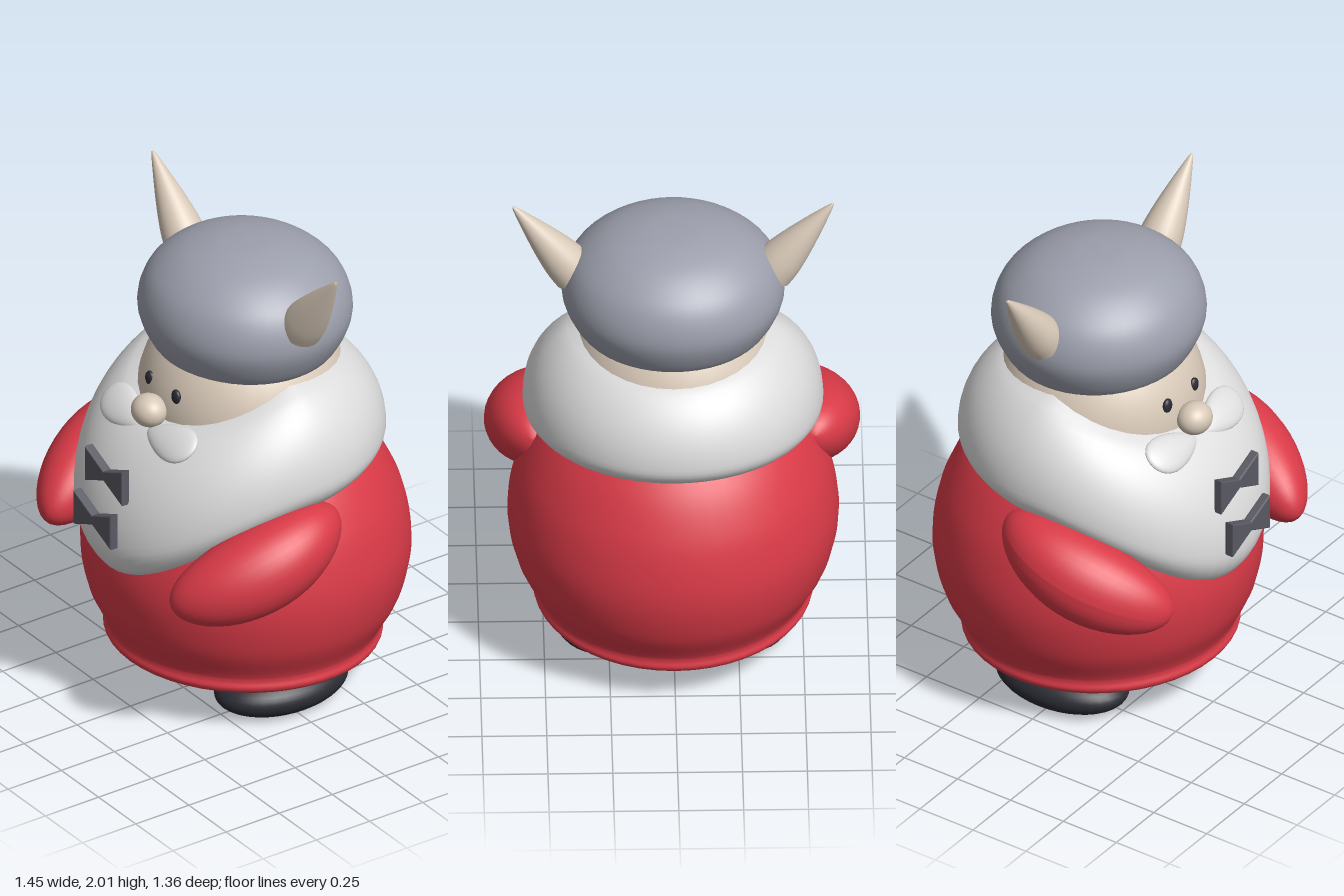
import * as THREE from 'three';

const mat = (name, color, side = THREE.FrontSide) => {
  const m = new THREE.MeshStandardMaterial({ color, side });
  m.name = name;
  return m;
};

export function createModel() {
  const red = mat('red coat', 0xd93a47);
  const white = mat('white beard', 0xdcdcdc, THREE.DoubleSide);
  const steel = mat('grey helmet', 0x9c9fac, THREE.DoubleSide);
  const skin = mat('skin and horn', 0xd8c9b8, THREE.DoubleSide);
  const dark = mat('dark shoes', 0x2b2c34);
  const bowGrey = mat('bow grey', 0x5a5a63);

  const model = new THREE.Group();
  const add = (name, geometry, material, x = 0, y = 0, z = 0) => {
    const mesh = new THREE.Mesh(geometry, material);
    mesh.name = name;
    mesh.position.set(x, y, z);
    model.add(mesh);
    return mesh;
  };
  // Smooth lathe through a few [radius, height] points, bottom to top
  const lathe = (pts, steps = 40, sides = 48) => {
    const curve = new THREE.SplineCurve(pts.map(p => new THREE.Vector2(...p)));
    const profile = curve.getPoints(steps);
    profile.forEach(p => { p.x = Math.max(p.x, 0); });
    return new THREE.LatheGeometry(profile, sides);
  };
  const ball = (rx, ry, rz) => new THREE.SphereGeometry(1, 36, 24).scale(rx, ry, rz);
  // Move every vertex by a rule
  const shape = (geometry, rule) => {
    const pos = geometry.attributes.position;
    const v = new THREE.Vector3();
    for (let i = 0; i < pos.count; i++) {
      rule(v.fromBufferAttribute(pos, i));
      pos.setXYZ(i, v.x, v.y, v.z);
    }
    geometry.computeVertexNormals();
    return geometry;
  };

  // Coat with a rolled hem, leaning slightly back (heights measured from the hem)
  const coat = lathe([
    [0, -0.035], [0.25, -0.035], [0.46, -0.033], [0.52, -0.02], [0.54, 0.005], [0.535, 0.035],
    [0.545, 0.07], [0.605, 0.19], [0.638, 0.35], [0.628, 0.5], [0.58, 0.66], [0.475, 0.83],
    [0.3, 0.97], [0, 1.03],
  ], 80);
  add('coat', coat, red, 0, 0.2, -0.03).rotation.x = -0.035;

  // Head and helmet
  add('head', ball(0.41, 0.41, 0.41), skin, 0, 1.25, -0.03);
  const helmet = lathe([
    [0.3, 1.462], [0.355, 1.46], [0.405, 1.535], [0.43, 1.62], [0.415, 1.71],
    [0.365, 1.79], [0.265, 1.862], [0.13, 1.903], [0, 1.912],
  ], 50).scale(1, 1, 0.95);
  add('helmet', helmet, steel, 0, 0, -0.04);

  // Beard: a collar all round that drops to a bib in front
  const N = 64, M = 22, positions = [], index = [];
  for (let j = 0; j <= M; j++) {
    for (let i = 0; i < N; i++) {
      const a = (i / N) * Math.PI * 2;
      const f = Math.cos(a), front = Math.max(f, 0), back = Math.max(-f, 0);
      const low = 0.99 - 0.33 * front ** 2 + 0.05 * back;
      const high = 1.44 - 0.17 * front ** 1.2 - 0.02 * back ** 2;
      const t = Math.max(0, (j - 1) / (M - 1));
      const u = (t - 0.2) / 0.8;
      const swell = u > 0 ? Math.max(0, 1 - u * u) ** 0.7 : 1;
      // first ring tucks the lower edge under
      const tuck = j === 0 ? 0.75 : u < 0 ? 1 - 0.08 * (u / 0.25) ** 2 : 1;
      const rx = (0.36 + 0.22 * swell) * tuck;
      const rz = (0.365 + (f > 0 ? 0.285 : 0.21) * swell) * tuck;
      positions.push(Math.sin(a) * rx, low + (high - low) * t, f * rz);
      if (j < M) {
        const p = j * N + i, q = j * N + ((i + 1) % N);
        index.push(p, q, q + N, p, q + N, p + N);
      }
    }
  }
  const beard = new THREE.BufferGeometry();
  beard.setAttribute('position', new THREE.Float32BufferAttribute(positions, 3));
  beard.setIndex(index);
  beard.computeVertexNormals();
  add('beard', beard, white);

  // Nose
  add('nose', ball(0.075, 0.065, 0.068), skin, 0, 1.297, 0.412);

  for (const s of [1, -1]) {
    const side = s > 0 ? 'left' : 'right';

    // Horn: hollow tapering cone leaning outward
    const horn = lathe([[0.088, 0], [0.082, 0.08], [0.055, 0.21], [0.01, 0.375], [0, 0.38]], 24, 28);
    add(side + 'Horn', horn, skin, s * 0.38, 1.7, -0.037).rotation.z = -s * 0.655;

    // Eye
    add(side + 'Eye', ball(0.025, 0.031, 0.016), dark, s * 0.088, 1.375, 0.345);

    // Moustache half, narrowing toward the nose and lying on the beard slope
    const half = shape(ball(0.135, 0.088, 0.03), v => {
      v.y *= 0.85 + s * v.x * 2.2;
      v.y += s * v.x * 0.1;
    });
    add(side + 'Moustache', half, white, s * 0.157, 1.235, 0.42).rotation.x = -0.85;

    // Arm: long ellipsoid from shoulder to hand, bowed outward
    const shoulder = new THREE.Vector3(s * 0.55, 0.94, -0.09);
    const hand = new THREE.Vector3(s * 0.425, 0.67, 0.6);
    const dir = hand.clone().sub(shoulder);
    const turn = new THREE.Quaternion().setFromUnitVectors(
      new THREE.Vector3(0, 1, 0), dir.clone().normalize());
    const mid = shoulder.clone().add(hand).multiplyScalar(0.5);
    const arm = ball(0.172, dir.length() / 2, 0.172).applyQuaternion(turn);
    shape(arm, v => { v.x += s * 0.06 * (1 - (v.z / 0.345) ** 2); });
    add(side + 'Arm', arm, red, mid.x, mid.y, mid.z);

    // Shoe with a flattened sole
    const shoe = shape(ball(0.19, 0.1, 0.287), v => { v.y = Math.max(v.y, -0.08); });
    add(side + 'Shoe', shoe, dark, s * 0.285, 0.085, -0.01);
  }

  // Two bows down the beard
  const outline = new THREE.Shape([
    [-0.12, -0.07], [0, -0.015], [0.12, -0.07], [0.12, 0.07], [0, 0.015], [-0.12, 0.07],
  ].map(p => new THREE.Vector2(...p)));
  const bow = new THREE.ExtrudeGeometry(outline, {
    depth: 0.026, bevelEnabled: true, bevelSize: 0.005, bevelThickness: 0.006, bevelSegments: 2,
  });
  add('upperBow', bow, bowGrey, 0, 1.073, 0.596);
  add('lowerBow', bow, bowGrey, 0, 0.895, 0.65);

  return model;
}
